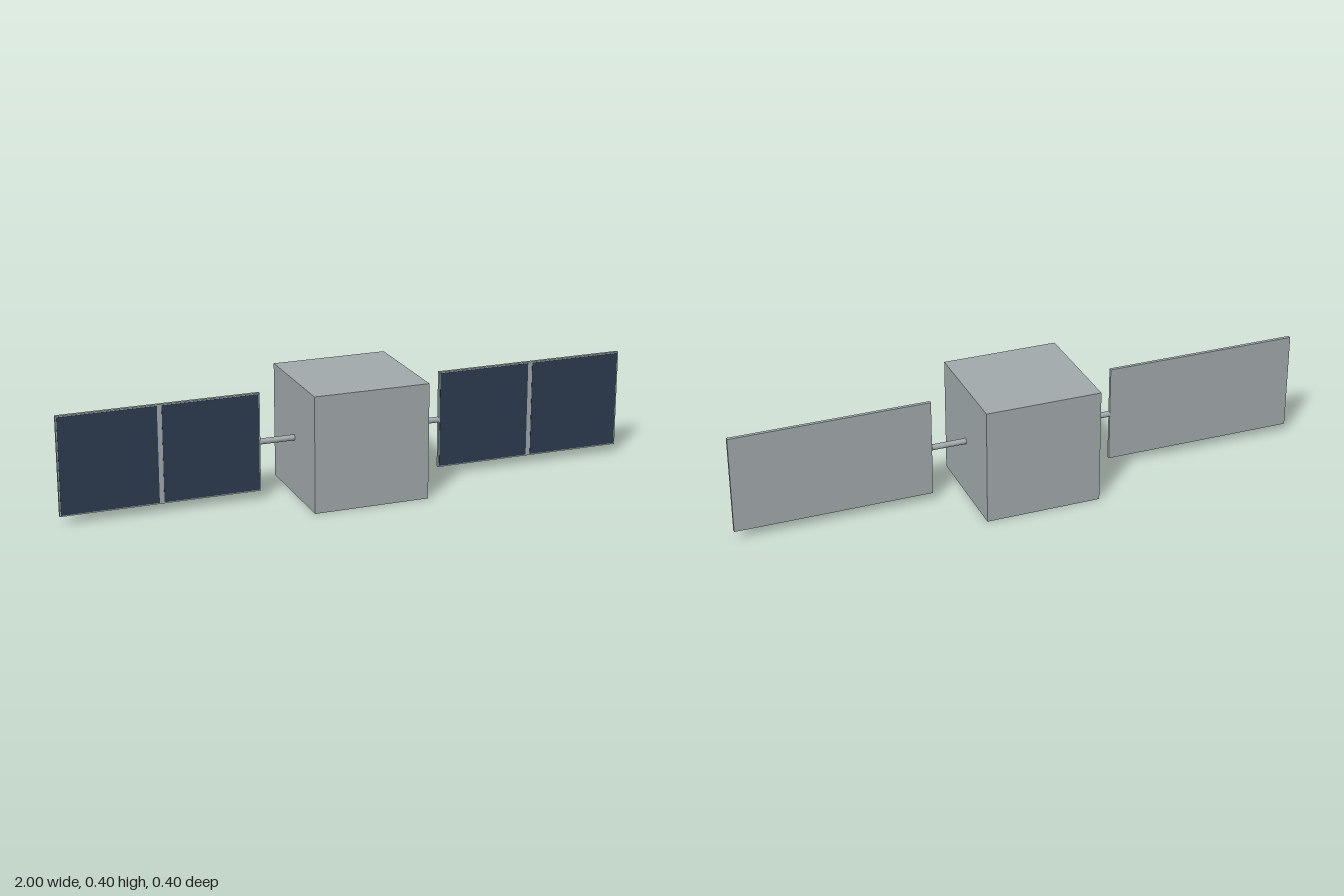
import * as THREE from 'three';

export function createModel() {
  const model = new THREE.Group();
  model.name = 'satellite';

  const greyMetal = new THREE.MeshStandardMaterial({ name: 'greyMetal', color: 0xa0a8aa });
  const darkBlueCell = new THREE.MeshStandardMaterial({ name: 'darkBlueCell', color: 0x2c3a4e });

  const add = (parent, name, geometry, material, x, y, z) => {
    const mesh = new THREE.Mesh(geometry, material);
    mesh.name = name;
    mesh.position.set(x, y, z);
    parent.add(mesh);
    return mesh;
  };

  const midY = 0.2;

  // Cubic body
  add(model, 'body', new THREE.BoxGeometry(0.4, 0.4, 0.4), greyMetal, 0, midY, 0);

  // Shared wing geometries
  const armGeometry = new THREE.CylinderGeometry(0.01, 0.01, 0.13, 16).rotateZ(Math.PI / 2);
  const panelGeometry = new THREE.BoxGeometry(0.68, 0.34, 0.012);
  const cellGeometry = new THREE.BoxGeometry(0.328, 0.332, 0.002);

  // A round arm and a two-cell solar panel on each side
  for (const [side, sign] of [['left', 1], ['right', -1]]) {
    const wing = new THREE.Group();
    wing.name = `${side}Wing`;
    add(wing, 'arm', armGeometry, greyMetal, sign * 0.255, midY, 0);
    add(wing, 'panel', panelGeometry, greyMetal, sign * 0.66, midY, 0);
    add(wing, 'innerCell', cellGeometry, darkBlueCell, sign * 0.488, midY, 0.006);
    add(wing, 'outerCell', cellGeometry, darkBlueCell, sign * 0.832, midY, 0.006);
    model.add(wing);
  }

  return model;
}
